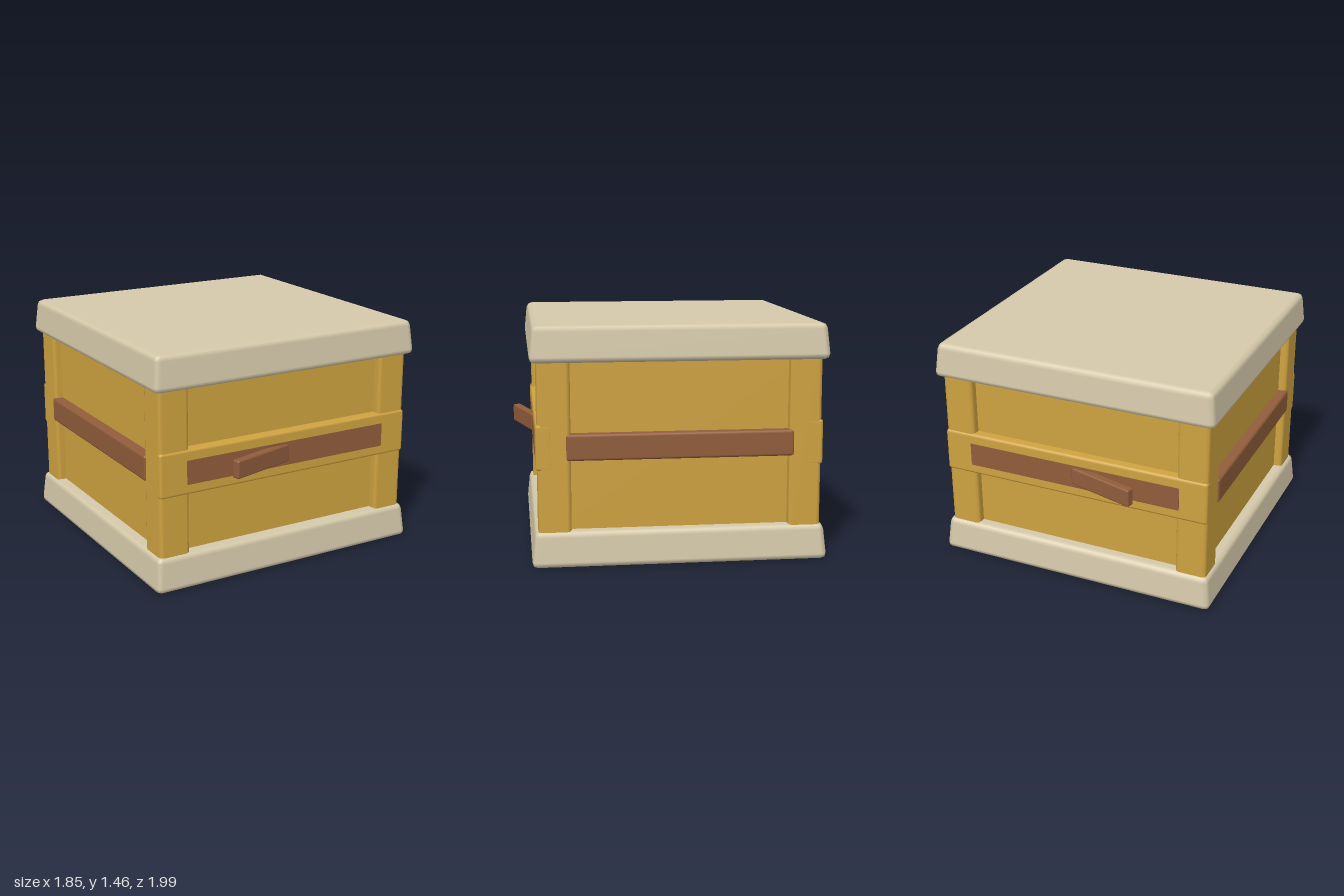
import * as THREE from 'three';
import { RoundedBoxGeometry } from 'three/addons/geometries/RoundedBoxGeometry.js';

const makeMaterial = (name, color) => {
  const m = new THREE.MeshStandardMaterial({ color });
  m.name = name;
  return m;
};

// Box with soft bevelled edges, placed by its centre
function softBox(name, material, size, position, radius) {
  const mesh = new THREE.Mesh(new RoundedBoxGeometry(...size, 1, radius), material);
  mesh.name = name;
  mesh.position.set(...position);
  return mesh;
}

// Bevelled slab whose sides lean inwards towards the top
function slab(name, material, y) {
  const mesh = softBox(name, material, [1.83, 0.22, 1.79], [0, y, 0], 0.035);
  const { position: p, normal: n } = mesh.geometry.attributes;
  const lean = 0.1;
  const v = new THREE.Vector3();
  for (let i = 0; i < p.count; i++) {
    const shift = -p.getY(i) * lean;
    p.setX(i, p.getX(i) + Math.sign(p.getX(i)) * shift);
    p.setZ(i, p.getZ(i) + Math.sign(p.getZ(i)) * shift);
    v.fromBufferAttribute(n, i);
    v.y += lean * Math.hypot(v.x, v.z);
    v.normalize();
    n.setXYZ(i, v.x, v.y, v.z);
  }
  return mesh;
}

export function createModel() {
  const cream = makeMaterial('cream', 0xd5c9aa);
  const gold = makeMaterial('gold', 0xcfa340);
  const brown = makeMaterial('brown', 0x915d3b);
  const model = new THREE.Group();
  model.name = 'crate';

  // Base, lid and inset body
  model.add(slab('base', cream, 0.11), slab('lid', cream, 1.35));
  const body = new THREE.Mesh(new THREE.BoxGeometry(1.66, 1.1, 1.62), gold);
  body.name = 'bodyPanels';
  body.position.y = 0.73;
  model.add(body);

  for (const s of [-1, 1]) {
    const side = s > 0 ? 'front' : 'back';

    // Corner posts
    for (const x of [-1, 1]) {
      model.add(softBox(side + (x > 0 ? 'Left' : 'Right') + 'Post', gold,
        [0.2, 1.16, 0.2], [x * 0.784, 0.73, s * 0.763], 0.025));
    }

    // Front and back bands with a flush dark inlay
    model.add(softBox(side + 'Band', gold, [1.772, 0.28, 0.1], [0, 0.73, s * 0.823], 0.018));
    const inlay = new THREE.Mesh(new THREE.BoxGeometry(1.415, 0.15, 0.006), brown);
    inlay.name = side + 'Inlay';
    inlay.position.set(0, 0.73, s * 0.873);
    model.add(inlay);

    // Slanted handle, swung outwards at one end
    const handle = softBox(side + 'Handle', brown, [0.45, 0.115, 0.055], [-0.222, 0.732, s * 0.912], 0.012);
    handle.rotation.y = s * 0.27;
    model.add(handle);

    // Raised strips on the left and right
    model.add(softBox((s > 0 ? 'left' : 'right') + 'Strip', brown,
      [0.1, 0.16, 1.385], [s * 0.845, 0.73, 0], 0.016));
  }
  return model;
}
